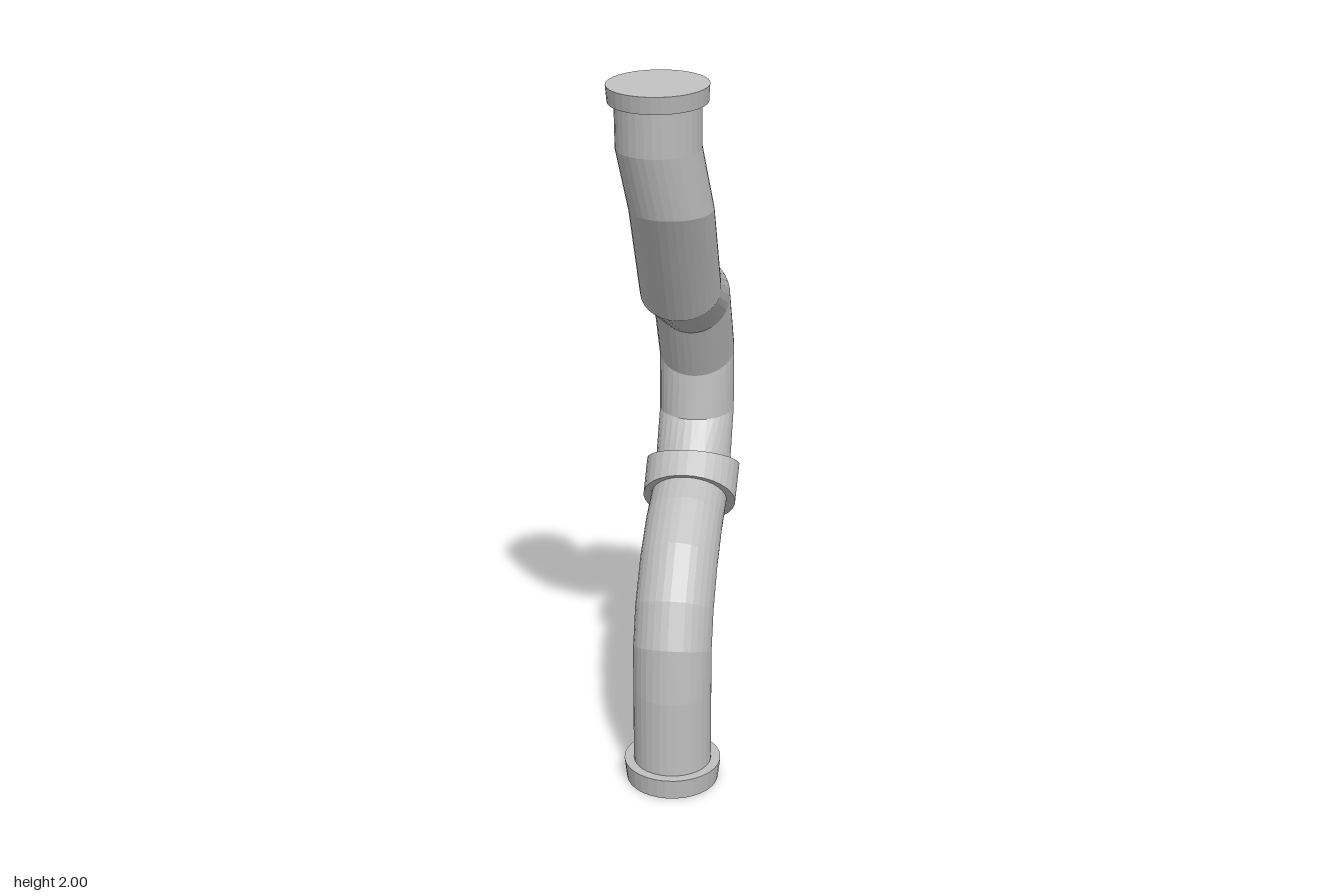
import * as THREE from 'three';

const SIDES = 32;
const R = 0.11;

// Skin through round rings [x, y, z, tilt in degrees, radius]; tilt leans the ring toward -z
function sweep(rings) {
  const pos = [], index = [];
  for (const [x, y, z, tilt, r] of rings) {
    const a = THREE.MathUtils.degToRad(tilt);
    for (let j = 0; j < SIDES; j++) {
      const t = (j / SIDES) * Math.PI * 2;
      const u = r * Math.cos(t), v = r * Math.sin(t);
      pos.push(x + u, y - v * Math.sin(a), z - v * Math.cos(a));
    }
  }
  for (let i = 0; i < rings.length - 1; i++) {
    for (let j = 0; j < SIDES; j++) {
      const k = (j + 1) % SIDES;
      const a = i * SIDES + j, b = i * SIDES + k;
      const c = b + SIDES, d = a + SIDES;
      if (rings[i][4] > 0) index.push(a, b, c);
      if (rings[i + 1][4] > 0) index.push(a, c, d);
      else if (rings[i][4] > 0) continue;
    }
  }
  const g = new THREE.BufferGeometry();
  g.setAttribute('position', new THREE.Float32BufferAttribute(pos, 3));
  g.setIndex(index);
  const flat = g.toNonIndexed(); // faceted normals
  flat.computeVertexNormals();
  return flat;
}

// Short band with flat end faces; inner radius 0 closes it completely
function band(start, end, inner0, inner1) {
  const withRadius = (ring, r) => [...ring.slice(0, 4), r];
  return sweep([withRadius(start, inner0), start, end, withRadius(end, inner1)]);
}

export function createModel() {
  const group = new THREE.Group();
  const metal = new THREE.MeshStandardMaterial({ color: 0xbfbfbf });
  metal.name = 'grey metal';
  const add = (name, geometry) => {
    const mesh = new THREE.Mesh(geometry, metal);
    mesh.name = name;
    group.add(mesh);
  };

  const X = 0.006, TOP = -0.02;

  // Lower pipe: upright, then curving backward into the coupling
  add('lowerPipe', sweep([
    [X, 0.02, 0.241, 0, R],
    [X, 0.28, 0.241, 2, R],
    [X, 0.402, 0.238, 23, R],
    [X, 0.505, 0.196, 36, R],
    [X, 0.606, 0.098, 52, R],
    [X, 0.672, -0.016, 67, R],
    [X, 0.715, -0.15, 58, R],
    [X, 0.745, -0.19, 45, R],
  ]));

  // Upper pipe: kinked S-bend up to the top flange
  add('upperPipe', sweep([
    [X, 0.735, -0.18, 45, R],
    [X, 0.78, -0.225, 36, R],
    [X, 0.926, -0.315, -3, R],
    [X, 1.11, -0.31, -32, R],
    [X, 1.31, -0.177, -71.6, R],
    [X, 1.394, 0.061, -35, R],
    [X, 1.659, 0.243, -4, R],
    [TOP, 1.825, 0.286, -5, R],
    [TOP, 1.96, 0.297, -6, R],
  ]));

  // Collars at the foot, the middle joint and the top
  add('bottomFlange', band([X, 0, 0.241, 0, 0.13], [X, 0.06, 0.241, 0, 0.137], 0, 0.1));
  add('middleCoupling', band([X, 0.701, -0.135, 51.5, 0.135], [X, 0.78, -0.23, 35, 0.137], 0.1, 0.1));
  add('topFlange', band([TOP, 1.942, 0.294, -5.5, 0.127], [TOP, 1.986, 0.3, -5.5, 0.13], 0.1, 0));

  return group;
}
